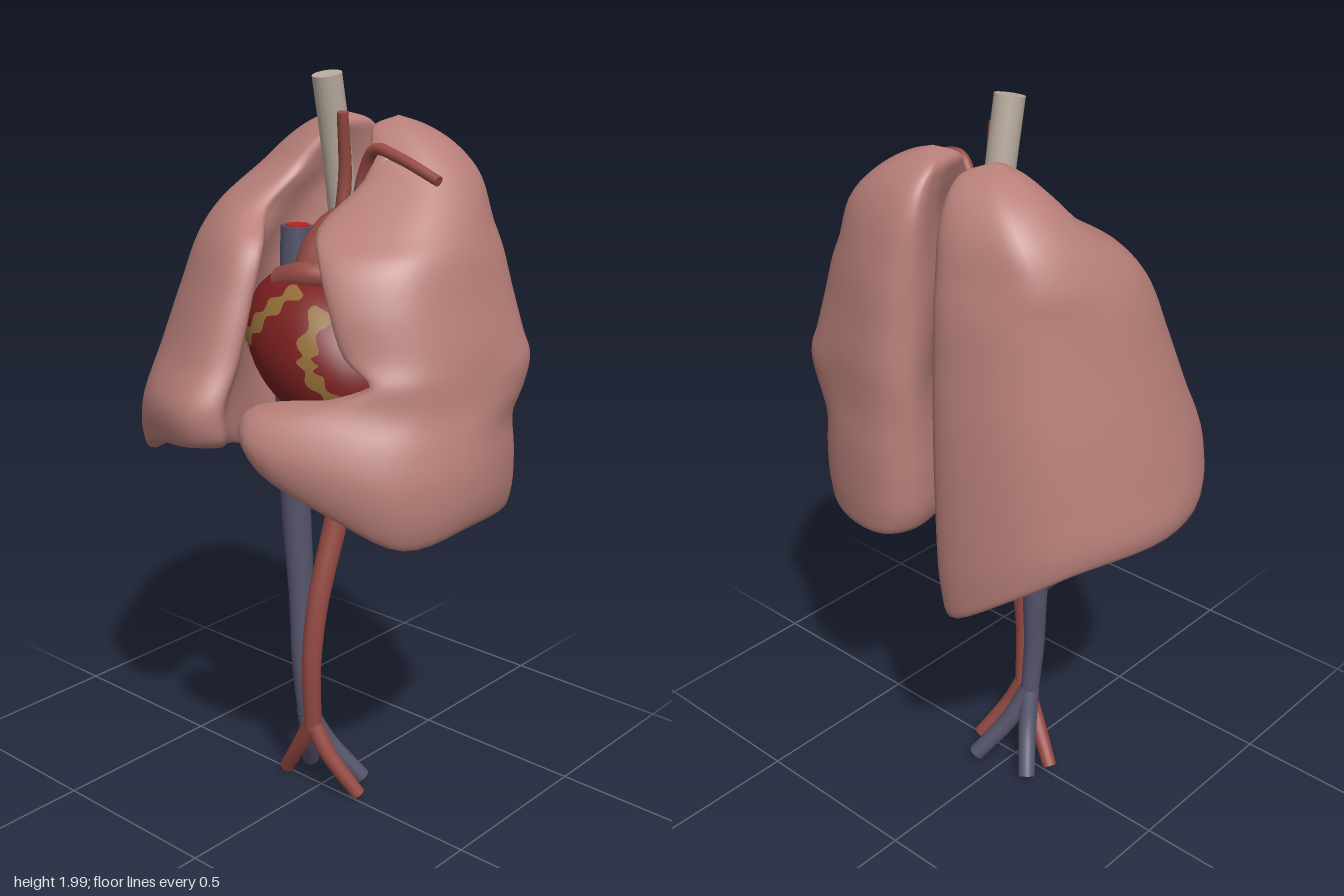
import * as THREE from 'three';
import { mergeGeometries, mergeVertices } from 'three/addons/utils/BufferGeometryUtils.js';

const V = (x, y, z) => new THREE.Vector3(x, y, z);
const paint = (name, color, side = THREE.FrontSide) => {
  const m = new THREE.MeshStandardMaterial({ color, side });
  m.name = name;
  return m;
};

// Outline of a lung section: [across medial-to-outer, along back-to-front].
// The last four points run down the hollow medial side.
const OUTLINE = [[0, 0.09], [0.13, 0], [0.55, 0.03], [0.81, 0.15], [1, 0.5],
  [0.87, 0.78], [0.55, 0.93], [0.14, 1], [0, 0.93], [null, 0.84], [null, 0.58], [null, 0.34]];

// Levels: height, outer x, front z, back z, medial x at front, middle and back
const RIGHT_LEVELS = [
  [1.00, 0.50, 0.36, -0.375, 0.07, 0.15, 0.06],
  [1.04, 0.52, 0.38, -0.39, 0.045, 0.14, 0.045],
  [1.15, 0.505, 0.39, -0.395, 0.04, 0.13, 0.04],
  [1.30, 0.47, 0.33, -0.39, 0.04, 0.14, 0.04],
  [1.45, 0.435, 0.27, -0.38, 0.04, 0.15, 0.04],
  [1.58, 0.405, 0.21, -0.37, 0.05, 0.15, 0.04],
  [1.66, 0.375, 0.12, -0.355, 0.12, 0.13, 0.04],
  [1.75, 0.32, -0.02, -0.335, 0.11, 0.09, 0.04],
  [1.82, 0.25, -0.08, -0.30, 0.08, 0.06, 0.04],
  [1.865, 0.175, -0.12, -0.25, 0.06, 0.05, 0.045],
];
const LEFT_LEVELS = [
  [1.00, 0.485, 0.35, -0.375, 0.09, 0.17, 0.07],
  [1.04, 0.51, 0.38, -0.39, 0.06, 0.19, 0.04],
  [1.12, 0.515, 0.395, -0.395, 0.04, 0.22, 0.03],
  [1.19, 0.50, 0.37, -0.395, 0.05, 0.25, 0.03],
  [1.25, 0.485, 0.27, -0.39, 0.24, 0.27, 0.03],
  [1.31, 0.475, 0.22, -0.39, 0.33, 0.27, 0.03],
  [1.37, 0.465, 0.23, -0.39, 0.25, 0.25, 0.03],
  [1.48, 0.435, 0.23, -0.38, 0.20, 0.20, 0.03],
  [1.58, 0.41, 0.20, -0.37, 0.14, 0.16, 0.03],
  [1.64, 0.385, 0.13, -0.36, 0.08, 0.14, 0.03],
  [1.75, 0.32, -0.02, -0.335, 0.11, 0.09, 0.03],
  [1.82, 0.25, -0.08, -0.30, 0.08, 0.06, 0.035],
  [1.865, 0.175, -0.12, -0.25, 0.06, 0.05, 0.045],
];
// Height of the lower rim at each outline point
const RIGHT_RIM = [0.77, 0.75, 0.87, 0.95, 0.97, 0.98, 1.06, 1.09, 1.09, 1.08, 1.0, 0.86];
const LEFT_RIM = [0.91, 0.90, 0.89, 0.90, 0.93, 0.91, 0.99, 1.07, 1.09, 1.06, 0.98, 0.93];

function lungGeometry(levels, rim, side) {
  const around = 60, up = 64;
  const mix = THREE.MathUtils.lerp;
  // One closed smooth loop per level
  const loops = levels.map(([y, xo, zf, zb, mF, mM, mB]) => {
    const w = THREE.MathUtils.clamp((1.3 - y) / 0.3, 0, 1);
    const pts = OUTLINE.map(([a, f], i) => {
      const medial = i < 3 ? mB : mF;
      let x;
      if (a !== null) x = mix(medial, xo, a);
      else x = i === 9 ? mix(mF, mM, 0.4) : i === 10 ? mM : mix(mB, mM, 0.35);
      return V(x, y + (rim[i] - 1) * w, mix(zb, zf, f));
    });
    const curve = new THREE.CatmullRomCurve3(pts, true);
    return Array.from({ length: around }, (_, i) => curve.getPoint(i / around));
  });
  // Columns run from the domed base, over the rim, to the apex
  const baseY = rim.reduce((s, v) => s + v, 0) / rim.length + 0.1;
  const base = V(0.3, baseY, 0), apex = V(0.1, 1.89, -0.18);
  const pos = [], index = [];
  for (let i = 0; i < around; i++) {
    const inner = loops[0][i].clone().lerp(base, 0.35);
    inner.y += 0.02;
    const column = new THREE.CatmullRomCurve3([base, inner, ...loops.map(l => l[i]), apex]);
    for (let j = 0; j <= up; j++) {
      const p = column.getPoint(j / up);
      pos.push(p.x * side, p.y, p.z);
    }
  }
  for (let i = 0; i < around; i++) {
    for (let j = 0; j < up; j++) {
      const a = i * (up + 1) + j, b = ((i + 1) % around) * (up + 1) + j;
      if (side > 0) index.push(a, a + 1, b, b, a + 1, b + 1);
      else index.push(a, b, a + 1, b, b + 1, a + 1);
    }
  }
  let g = new THREE.BufferGeometry();
  g.setAttribute('position', new THREE.Float32BufferAttribute(pos, 3));
  g.setIndex(index);
  g = mergeVertices(g, 1e-5);
  g.computeVertexNormals();
  return g;
}

// Capped tube whose radius runs evenly through the given radii
function vesselGeometry(points, radii, sides = 16) {
  const curve = new THREE.CatmullRomCurve3(points.map(p => V(...p)));
  const seg = points.length * 8;
  const g = new THREE.TubeGeometry(curve, seg, 1, sides, false);
  const { position, normal } = g.attributes;
  const radiusAt = t => {
    const s = t * (radii.length - 1), k = Math.min(Math.floor(s), radii.length - 2);
    return radii.length === 1 ? radii[0] : THREE.MathUtils.lerp(radii[k], radii[k + 1], s - k);
  };
  for (let i = 0; i <= seg; i++) {
    const c = curve.getPointAt(i / seg), r = radiusAt(i / seg);
    for (let j = 0; j <= sides; j++) {
      const k = i * (sides + 1) + j;
      position.setXYZ(k, c.x + normal.getX(k) * r, c.y + normal.getY(k) * r, c.z + normal.getZ(k) * r);
    }
  }
  const caps = [0, 1].map(t => {
    const dir = curve.getTangentAt(t).multiplyScalar(t ? 1 : -1);
    const cap = new THREE.CircleGeometry(radiusAt(t), sides);
    cap.applyQuaternion(new THREE.Quaternion().setFromUnitVectors(V(0, 0, 1), dir));
    const c = curve.getPointAt(t);
    return cap.translate(c.x, c.y, c.z);
  });
  return mergeGeometries([g, ...caps]);
}

// Thin band lying on the front of a unit sphere
function bandGeometry(path, width) {
  const curve = new THREE.CatmullRomCurve3(path.map(([u, v]) =>
    V(u, v, Math.sqrt(Math.max(0, 1 - u * u - v * v)))));
  const n = 30, g = new THREE.PlaneGeometry(1, 1, 2, n), p = g.attributes.position;
  for (let i = 0; i <= n; i++) {
    const c = curve.getPoint(i / n).normalize();
    const across = curve.getTangent(i / n).cross(c).normalize();
    const w = width * (0.75 + 0.35 * Math.sin(i * 0.9));
    for (let j = 0; j < 3; j++) {
      const q = c.clone().addScaledVector(across, (j - 1) * w).normalize().multiplyScalar(1.02);
      p.setXYZ(i * 3 + j, q.x, q.y, q.z);
    }
  }
  g.computeVertexNormals();
  return g;
}

export function createModel() {
  const model = new THREE.Group();
  const lungPink = paint('lung pink', 0xb87f79);
  const heartRed = paint('heart red', 0x7a1f1f);
  const arteryRed = paint('artery red', 0x954a43);
  const veinGrey = paint('vein grey', 0x55536a);
  const airwayBeige = paint('airway beige', 0xb8ab9e);
  const fatBrown = paint('fat brown', 0x916b37, THREE.DoubleSide);
  const bloodRed = paint('blood red', 0xb82222);
  const add = (name, geometry, material, parent = model) => {
    const m = new THREE.Mesh(geometry, material);
    m.name = name;
    parent.add(m);
    return m;
  };
  const vessel = (name, material, radii, ...points) => add(name, vesselGeometry(points, radii), material);

  add('rightLung', lungGeometry(RIGHT_LEVELS, RIGHT_RIM, -1), lungPink);
  add('leftLung', lungGeometry(LEFT_LEVELS, LEFT_RIM, 1), lungPink);

  // Heart, tilted down to its left, with bands of fat
  const heart = new THREE.Group();
  heart.name = 'heart';
  heart.position.set(0.09, 1.34, 0.095);
  heart.rotation.set(0, -0.2, -0.5);
  heart.scale.set(0.25, 0.17, 0.17);
  model.add(heart);
  add('heartBody', new THREE.SphereGeometry(1, 40, 28), heartRed, heart);
  add('frontFatBand', bandGeometry([[-0.25, 0.85], [-0.3, 0.5], [-0.38, 0], [-0.5, -0.35]], 0.12), fatBrown, heart);
  add('sideFatBand', bandGeometry([[0.1, 0.9], [0.35, 0.5], [0.5, 0.3], [0.8, 0.08]], 0.13), fatBrown, heart);

  // Aorta: arch, descending trunk and lower fork
  vessel('aorta', arteryRed, [0.045, 0.045, 0.042, 0.038, 0.036, 0.033, 0.03, 0.027, 0.025],
    [0.03, 1.42, 0.08], [0.035, 1.56, 0.06], [0.07, 1.635, 0.0], [0.085, 1.57, -0.09], [0.075, 1.4, -0.11],
    [0.055, 1.1, -0.08], [0.045, 0.85, -0.015], [0.035, 0.6, 0.055], [0.028, 0.42, 0.072], [0.018, 0.22, 0.055]);
  vessel('leftIliacArtery', arteryRed, [0.025, 0.02], [0.018, 0.24, 0.056], [0.06, 0.15, 0.04], [0.13, 0.025, -0.01]);
  vessel('rightIliacArtery', arteryRed, [0.025, 0.02], [0.018, 0.24, 0.056], [-0.045, 0.14, 0.04], [-0.125, 0.025, 0.01]);

  // Neck and arm arteries
  vessel('carotidArtery', arteryRed, [0.02, 0.014], [0.06, 1.6, 0.0], [0.065, 1.75, -0.015], [0.078, 1.91, 0.01]);
  vessel('subclavianArtery', arteryRed, [0.018, 0.015, 0.013], [0.085, 1.6, -0.03], [0.095, 1.75, -0.05],
    [0.14, 1.82, -0.04], [0.22, 1.81, -0.03], [0.35, 1.765, -0.025]);
  vessel('pulmonaryTrunk', arteryRed, [0.035], [-0.02, 1.5, 0.13], [0.07, 1.525, 0.13], [0.18, 1.52, 0.06]);
  vessel('pulmonaryArtery', arteryRed, [0.03], [-0.16, 1.47, -0.05], [0, 1.5, -0.05], [0.16, 1.5, -0.05]);

  // Great veins
  vessel('upperVein', veinGrey, [0.04, 0.043], [-0.05, 1.42, 0.04], [-0.055, 1.52, 0.035], [-0.055, 1.62, 0.03]);
  const opening = add('veinOpening', new THREE.CylinderGeometry(0.03, 0.03, 0.004, 24), bloodRed);
  opening.position.set(-0.055, 1.622, 0.03);
  vessel('lowerVein', veinGrey, [0.045, 0.044, 0.04, 0.036, 0.03, 0.026], [-0.06, 1.28, 0.05], [-0.06, 1.1, 0.045],
    [-0.06, 0.85, 0.035], [-0.047, 0.6, 0.03], [-0.037, 0.4, 0.038], [-0.03, 0.22, 0.025]);
  vessel('leftIliacVein', veinGrey, [0.028, 0.024], [-0.03, 0.25, 0.028], [0.01, 0.14, -0.02], [0.075, 0.025, -0.09]);
  vessel('rightIliacVein', veinGrey, [0.028, 0.024], [-0.03, 0.25, 0.028], [-0.055, 0.14, -0.01], [-0.105, 0.025, -0.07]);

  // Windpipe and its two branches
  vessel('windpipe', airwayBeige, [0.038], [0, 1.995, -0.02], [0, 1.82, -0.055], [0, 1.6, -0.09]);
  for (const s of [-1, 1]) {
    vessel(s < 0 ? 'rightBronchus' : 'leftBronchus', airwayBeige, [0.034, 0.025],
      [0, 1.62, -0.088], [s * 0.06, 1.54, -0.1], [s * 0.18, 1.46, -0.09]);
  }
  vessel('airwayTwig', airwayBeige, [0.008, 0.005], [0.12, 1.76, -0.06], [0.15, 1.79, -0.065], [0.17, 1.8, -0.08]);
  return model;
}
